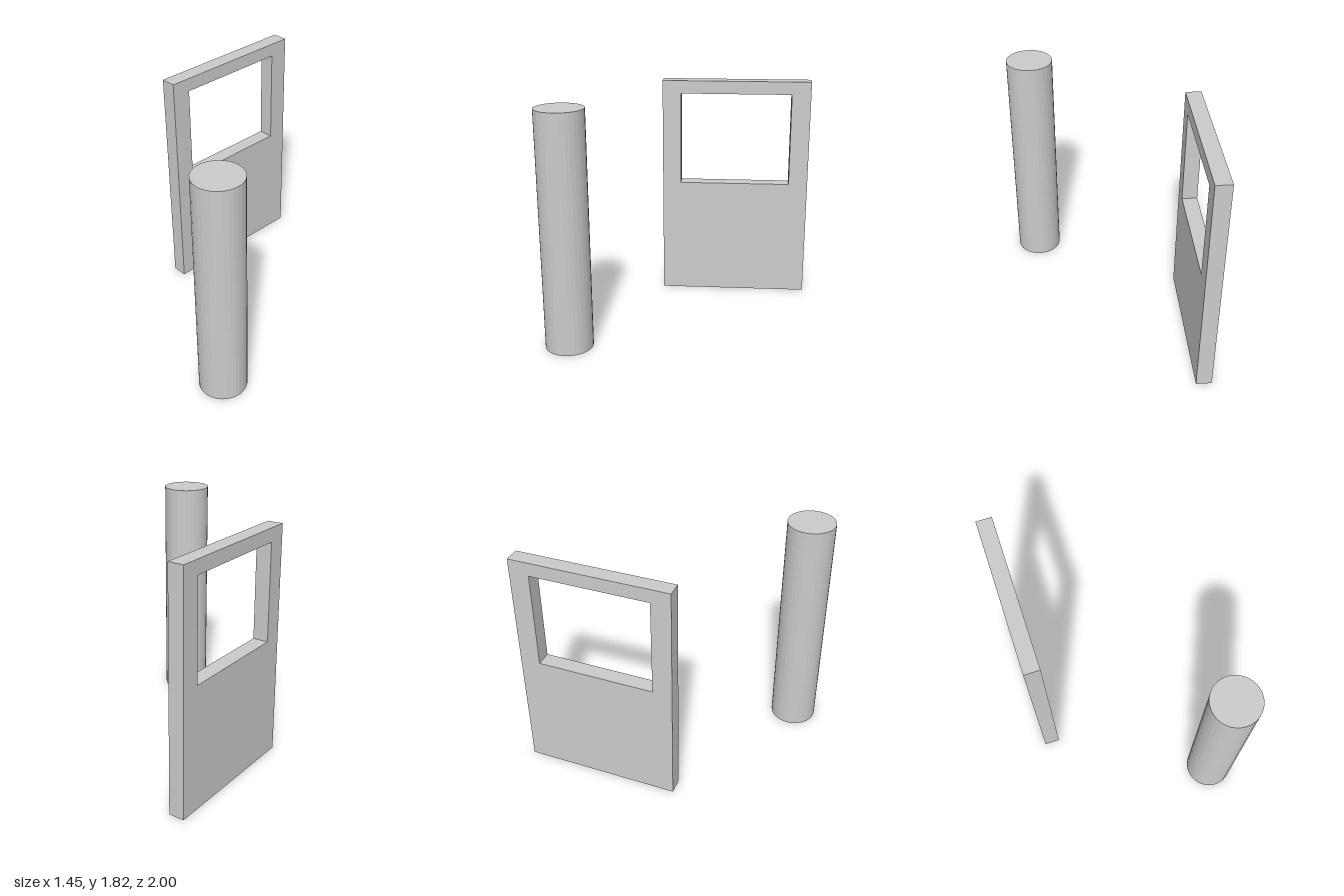
import * as THREE from 'three';

const HEIGHT = 1.82;

// Traces a rectangle on a shape or path
function rectangle(path, x0, y0, x1, y1) {
  path.moveTo(x0, y0);
  path.lineTo(x1, y0);
  path.lineTo(x1, y1);
  path.lineTo(x0, y1);
  path.closePath();
  return path;
}

export function createModel() {
  const model = new THREE.Group();
  const material = new THREE.MeshStandardMaterial({ color: 0xcccccc, flatShading: true });

  // Wall slab with a window opening, drawn in the z-y plane and extruded along x
  const outline = rectangle(new THREE.Shape(), -1, 0, 0.21, HEIGHT);
  outline.holes.push(rectangle(new THREE.Path(), -0.845, 0.957, 0.06, 1.715));
  const wallGeometry = new THREE.ExtrudeGeometry(outline, { depth: 0.12, bevelEnabled: false });
  wallGeometry.rotateY(-Math.PI / 2);
  const wall = new THREE.Mesh(wallGeometry, material);
  wall.name = 'windowWall';
  wall.position.x = -0.606;
  model.add(wall);

  // Free-standing round column
  const column = new THREE.Mesh(new THREE.CylinderGeometry(0.181, 0.181, HEIGHT, 32), material);
  column.name = 'column';
  column.position.set(0.545, HEIGHT / 2, 0.819);
  model.add(column);

  return model;
}
